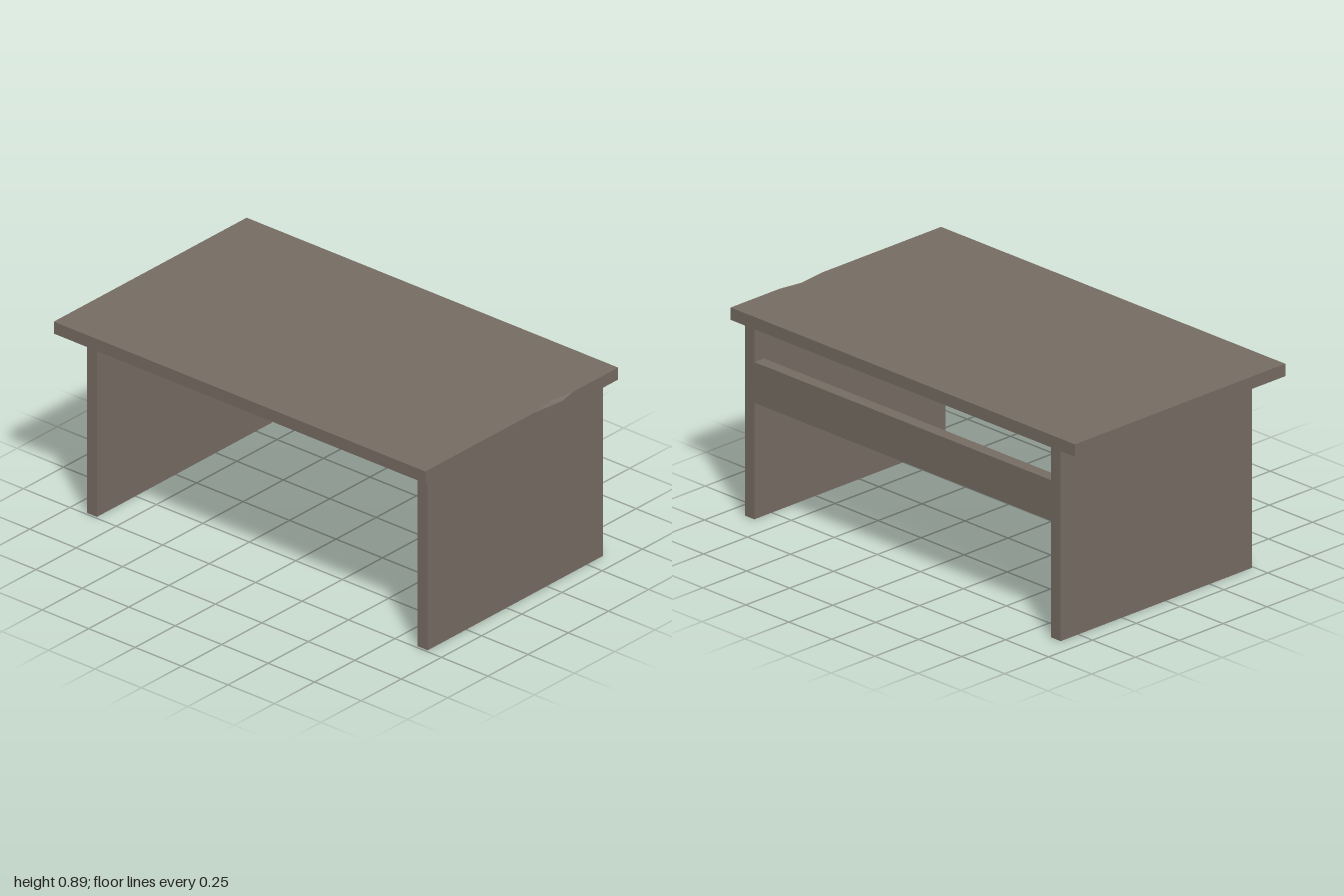
import * as THREE from 'three';

export function createModel() {
  const model = new THREE.Group();
  const wood = new THREE.MeshStandardMaterial({ color: 0x766c63 });
  wood.name = 'greyBrownWood';

  const TOP = 0.895, UNDER = 0.84, DEPTH = 0.6;

  function add(name, geometry, x = 0, y = 0, z = 0) {
    const mesh = new THREE.Mesh(geometry, wood);
    mesh.name = name;
    mesh.position.set(x, y, z);
    model.add(mesh);
  }

  // Flat-faced solid from outward polygons, each fanned from its first corner
  function solid(faces) {
    const points = [];
    for (const f of faces)
      for (let i = 1; i < f.length - 1; i++) points.push(...f[0], ...f[i], ...f[i + 1]);
    const g = new THREE.BufferGeometry();
    g.setAttribute('position', new THREE.Float32BufferAttribute(points, 3));
    g.computeVertexNormals();
    return g;
  }

  // Tabletop corners: l/r = side, f/b = front/back, second letter pair u/d = upper/lower
  const lbu = [-1, TOP, -DEPTH], rbu = [1, TOP, -DEPTH], rfu = [1, TOP, DEPTH], lfu = [-1, TOP, DEPTH];
  const lbd = [-1, UNDER, -DEPTH], rbd = [1, UNDER, -DEPTH], rfd = [1, UNDER, DEPTH], lfd = [-1, UNDER, DEPTH];

  // Small chip broken out of the +x edge
  const chipFront = [1, TOP, -0.08], chipBack = [1, TOP, -0.32];
  const chipLow = [1, 0.88, -0.25], chipInner = [0.98, TOP, -0.2];

  add('tabletop', solid([
    [chipInner, chipBack, rbu, lbu, lfu, rfu, chipFront],
    [chipLow, chipFront, rfu, rfd, rbd, rbu, chipBack],
    [chipInner, chipLow, chipBack],
    [chipInner, chipFront, chipLow],
    [lbd, rbd, rfd, lfd],
    [lfd, rfd, rfu, lfu],
    [rbd, lbd, lbu, rbu],
    [lbd, lfd, lfu, lbu],
  ]));

  // Side panels, flush with the back edge and set in from the front
  for (const [name, side] of [['leftPanel', 1], ['rightPanel', -1]])
    add(name, new THREE.BoxGeometry(0.055, UNDER, 1.09), side * 0.89, UNDER / 2, -0.055);

  // Back rail between the panels
  add('backRail', new THREE.BoxGeometry(1.725, 0.18, 0.055), 0, 0.605, -DEPTH + 0.0275);

  return model;
}
